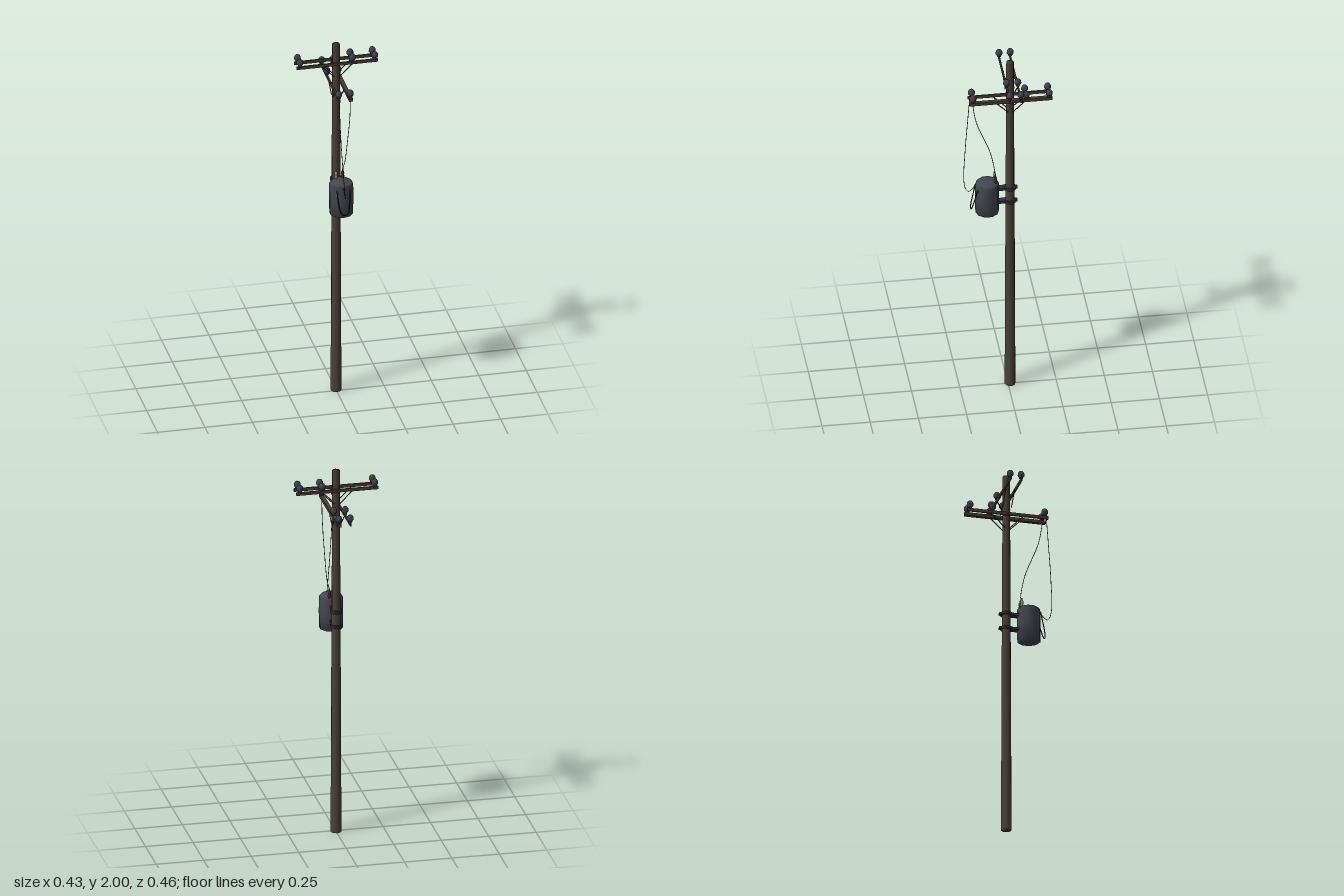
import * as THREE from 'three';
import { mergeVertices } from 'three/addons/utils/BufferGeometryUtils.js';

const mat = (name, color, side = THREE.FrontSide) => {
  const m = new THREE.MeshStandardMaterial({ color, side });
  m.name = name;
  return m;
};

// Weld seams and caps so the shading rolls softly over the edges
function soften(geo) {
  geo.deleteAttribute('uv');
  geo.deleteAttribute('normal');
  const g = mergeVertices(geo, 1e-5);
  g.computeVertexNormals();
  return g;
}

const lathe = (pts, sides) =>
  soften(new THREE.LatheGeometry(pts.map(([r, y]) => new THREE.Vector2(r, y)), sides));

export function createModel() {
  const root = new THREE.Group();
  root.name = 'utilityPole';
  const wood = mat('poleWood', 0x4c413b);
  const armWood = mat('armWood', 0x463a33);
  const glaze = mat('insulatorGlaze', 0x41414b);
  const steel = mat('tankSteel', 0x454650);
  const iron = mat('darkIron', 0x303038);
  const cable = mat('cableBlack', 0x1f1f22);
  const cream = mat('creamCeramic', 0x9a9278);
  const red = mat('redCeramic', 0x5c2b27);
  const poleZ = -0.011;

  const add = (name, geo, material, x = 0, y = 0, z = 0) => {
    const m = new THREE.Mesh(geo, material);
    m.name = name;
    m.position.set(x, y, z);
    root.add(m);
    return m;
  };
  const v = (p) => new THREE.Vector3(...p);

  // Thin flat bar between two points
  function bar(name, a, b, w, material) {
    const A = v(a), B = v(b);
    const m = add(name, new THREE.BoxGeometry(w, w, A.distanceTo(B)), material);
    m.position.copy(A).lerp(B, 0.5);
    m.lookAt(B);
  }
  // Hanging cable through a few points
  const wire = (name, pts, r) => add(name, new THREE.TubeGeometry(
    new THREE.CatmullRomCurve3(pts.map(v)), 24, r, 5), cable);

  // Tapered pole
  add('pole', lathe([[0, 0], [0.028, 0], [0.025, 0.8], [0.0195, 2], [0, 2]], 10), wood, 0, 0, poleZ);

  // Insulator: pin, skirt and domed cap
  const insulator = lathe([[0, 0], [0.011, 0], [0.011, 0.008], [0.018, 0.014],
    [0.0175, 0.028], [0.011, 0.038], [0, 0.041]], 8);

  // Upper pair of crossarms, running left to right
  for (const z of [-0.04, 0.018]) {
    add('upperArm', new THREE.BoxGeometry(0.43, 0.017, 0.008), armWood, 0, 1.897, z);
    for (const x of [-0.197, 0.08, 0.197])
      add('upperInsulator', insulator, glaze, x, 1.905, z);
    const zb = z < poleZ ? z + 0.006 : z - 0.006;
    for (const s of [-1, 1])
      bar('upperBrace', [s * 0.085, 1.892, zb], [s * 0.015, 1.822, zb], 0.004, iron);
  }

  // Lower pair of crossarms, running front to back
  for (const [x, w] of [[-0.03, 0.008], [0.03, 0.02]]) {
    add('lowerArm', new THREE.BoxGeometry(w, 0.017, 0.43), armWood, x, 1.778, poleZ);
    for (const z of [-0.21, -0.091, 0.185])
      add('lowerInsulator', insulator, glaze, x, 1.787, z);
    for (const s of [-1, 1])
      bar('lowerBrace', [x * 0.8, 1.772, poleZ + s * 0.082],
        [x * 0.7, 1.702, poleZ + s * 0.012], 0.004, iron);
  }
  // Through-bolts holding the arm pairs
  add('upperBolt', new THREE.BoxGeometry(0.006, 0.006, 0.074), iron, 0, 1.897, poleZ);
  add('lowerBolt', new THREE.BoxGeometry(0.074, 0.006, 0.006), iron, 0, 1.778, poleZ);

  // Transformer tank with a slightly domed lid
  add('tank', lathe([[0, 1.083], [0.061, 1.083], [0.063, 1.17], [0.062, 1.254],
    [0.052, 1.266], [0, 1.272]], 10), steel, 0, 0, 0.108);

  // Clamps around the pole and brackets to the tank
  for (const y of [1.22, 1.14]) {
    add('poleClamp', new THREE.CylinderGeometry(0.031, 0.031, 0.016, 10), iron, 0, y, poleZ);
    add('tankBracket', new THREE.BoxGeometry(0.034, 0.014, 0.05), iron, 0, y, 0.035);
    add('clampBolt', new THREE.BoxGeometry(0.02, 0.012, 0.012), iron, 0, y, poleZ - 0.032);
  }

  // Ceramic bushings on the lid
  const bushing = lathe([[0, 0], [0.008, 0], [0.009, 0.014], [0.006, 0.018], [0.009, 0.024],
    [0.008, 0.036], [0.004, 0.042], [0.004, 0.052], [0, 0.052]], 8);
  add('creamBushing', bushing, cream, -0.018, 1.262, 0.067);
  add('redBushing', bushing, red, 0.017, 1.262, 0.067);

  // Terminals on the tank front
  for (const [x, y, z] of [[-0.034, 1.232, 0.161], [0, 1.25, 0.169], [0.034, 1.232, 0.161]])
    add('terminal', new THREE.SphereGeometry(0.006, 8, 6), iron, x, y, z);

  // Cables
  wire('bushingWire', [[0.03, 1.79, 0.19], [0.032, 1.66, 0.168], [0.034, 1.47, 0.097],
    [0.028, 1.36, 0.074], [0.017, 1.312, 0.067]], 0.0018);
  wire('tankWire', [[-0.03, 1.79, 0.193], [-0.027, 1.62, 0.206], [-0.02, 1.44, 0.22],
    [-0.008, 1.26, 0.226], [0, 1.212, 0.21], [0.001, 1.225, 0.188], [0, 1.25, 0.17]], 0.0018);
  wire('terminalLoop', [[-0.034, 1.232, 0.164], [-0.03, 1.17, 0.178], [-0.017, 1.118, 0.191],
    [0, 1.108, 0.193], [0.017, 1.118, 0.191], [0.03, 1.17, 0.178], [0.034, 1.232, 0.164]], 0.003);

  return root;
}
